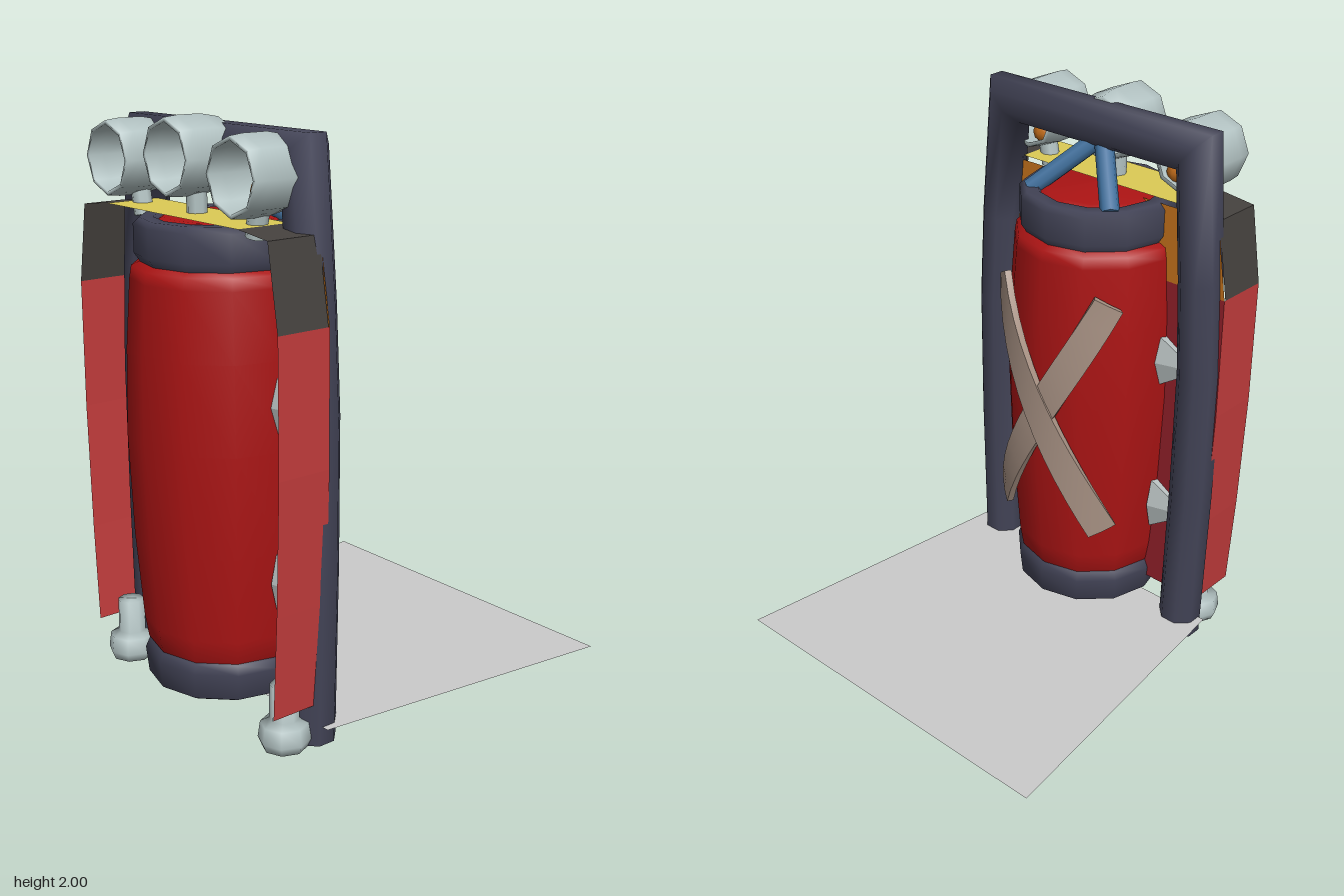
import * as THREE from 'three';

const V = (x, y, z) => new THREE.Vector3(x, y, z);
const P = (pts) => pts.map(([a, b]) => new THREE.Vector2(a, b));
const mat = (color, opts = {}) => {
  const m = new THREE.MeshStandardMaterial(opts);
  m.color.set(color);
  return m;
};
const TANK_Z = 0.405;

export function createModel() {
  const model = new THREE.Group();
  const red = mat(0xab1414), dark = mat(0x424356), metal = mat(0xb4c4c4);
  const blue = mat(0x3f6f9c), beige = mat(0xa89284), orange = mat(0xc8701c);
  const bolt = mat(0xb4bcbc, { flatShading: true });
  const sheet = (c) => mat(c, { side: THREE.DoubleSide, flatShading: true });
  const panelRed = sheet(0xc23c3c), wallRed = sheet(0x94202a), cowlDark = sheet(0x45413e);
  const cowlOrange = sheet(0xc8741c), cowlYellow = sheet(0xdccb55);

  const add = (name, geo, material, x = 0, y = 0, z = 0) => {
    const m = new THREE.Mesh(geo, material);
    m.name = name;
    m.position.set(x, y, z);
    model.add(m);
    return m;
  };
  const lathe = (pts, n) => new THREE.LatheGeometry(P(pts), n);

  // strip of quads between two rows of points
  const strip = (rowA, rowB) => {
    const pos = [], idx = [];
    rowA.forEach((p, i) => {
      pos.push(...p, ...rowB[i]);
      if (i) idx.push(2 * i - 2, 2 * i, 2 * i - 1, 2 * i, 2 * i + 1, 2 * i - 1);
    });
    const g = new THREE.BufferGeometry();
    g.setAttribute('position', new THREE.Float32BufferAttribute(pos, 3));
    g.setIndex(idx);
    g.computeVertexNormals();
    return g;
  };
  const rod = (name, a, b, r, material) => {
    const m = add(name, new THREE.CylinderGeometry(r, r, a.distanceTo(b), 8), material);
    m.position.copy(a).add(b).multiplyScalar(0.5);
    m.quaternion.setFromUnitVectors(V(0, 1, 0), b.clone().sub(a).normalize());
  };

  // tank with bulging body, two bands and a lid
  add('tankBody', lathe([[0.25, 0.19], [0.275, 0.22], [0.288, 0.3], [0.312, 0.6], [0.325, 0.95],
    [0.318, 1.25], [0.302, 1.48], [0.295, 1.52], [0.25, 1.54]], 12), red, 0, 0, TANK_Z);
  add('tankBottomBand', lathe([[0, 0.075], [0.25, 0.075], [0.278, 0.09], [0.288, 0.18], [0.275, 0.21],
    [0.255, 0.245], [0.2, 0.25]], 12), dark, 0, 0, TANK_Z);
  add('tankTopBand', lathe([[0.26, 1.5], [0.268, 1.535], [0.285, 1.56], [0.285, 1.655], [0.265, 1.675],
    [0.22, 1.675], [0.205, 1.65]], 12), dark, 0, 0, TANK_Z);
  add('tankLid', lathe([[0.22, 1.655], [0.19, 1.675], [0, 1.69]], 12), red, 0, 0, TANK_Z);

  // tubular frame: mitred octagonal sweep along a bent hoop
  const half = [[0.455, 0], [0.47, 0.6], [0.473, 1.1], [0.455, 1.45], [0.418, 1.9]];
  const path = P([...half, ...half.map(([x, y]) => [-x, y]).reverse()]);
  const N = 8, R = 0.079, pos = [], idx = [];
  path.forEach((p, i) => {
    const d1 = p.clone().sub(path[Math.max(i - 1, 0)]);
    const d2 = path[Math.min(i + 1, path.length - 1)].clone().sub(p);
    if (!i) d1.copy(d2);
    if (i === path.length - 1) d2.copy(d1);
    d1.normalize(); d2.normalize();
    const t = d1.clone().add(d2).normalize(), k = R / t.dot(d1);
    for (let j = 0; j < N; j++) {
      const a = (j + 0.5) / N * Math.PI * 2, c = Math.cos(a) * k;
      pos.push(p.x + t.y * c, p.y - t.x * c, 0.4 + Math.sin(a) * R);
      if (i) {
        const q = i * N + j, s = i * N + (j + 1) % N;
        idx.push(q - N, q, s - N, s - N, q, s);
      }
    }
  });
  const tube = new THREE.BufferGeometry();
  tube.setAttribute('position', new THREE.Float32BufferAttribute(pos, 3));
  tube.setIndex(idx);
  tube.computeVertexNormals();
  add('frameHoop', tube, dark);

  // outlines of the side panels and of the cowl above them
  const low = [[0.515, 0.145], [0.535, 0.5], [0.55, 0.95], [0.55, 1.4]];
  const up = [[0.55, 1.4], [0.505, 1.675], [0.36, 1.692]];

  for (const s of [1, -1]) {
    add('legEnd', new THREE.CircleGeometry(R, N).rotateZ(Math.PI / N).rotateX(Math.PI / 2),
      dark, s * 0.455, 0.002, 0.4);

    const at = (z) => ([x, y]) => [s * x, y, z];
    add('sidePanel', strip(low.map(at(0.41)), low.map(at(0.61))), panelRed);
    add('cowlSide', strip(up.map(at(0.415)), up.map(at(0.61))), cowlDark);

    // flat clasps between tank and frame
    for (const y of [0.5, 1.1]) {
      const c = add('clasp', new THREE.CylinderGeometry(0.05, 0.115, 0.09, 6).scale(1, 1, 0.4),
        bolt, s * 0.35, y, 0.405);
      c.rotation.z = -s * Math.PI / 2;
      c.rotation.order = 'ZYX';
    }

    // feet
    add('foot', lathe([[0, 0], [0.075, 0], [0.088, 0.03], [0.08, 0.085], [0.05, 0.1],
      [0.048, 0.22], [0, 0.22]], 8), metal, s * 0.45, 0, 0.515);

    add('orangeBulb', new THREE.SphereGeometry(0.045, 8, 6), orange, s * 0.3, 1.785, 0.46);

    // braces from the back of the lid up to the middle lamp
    rod('brace', V(s * 0.18, 1.66, 0.245), V(0, 1.85, 0.42), 0.034, blue);
  }

  // back wall and top of the cowl
  const left = ([x, y]) => [-x, y, 0.41], right = ([x, y]) => [x, y, 0.41];
  const wallTop = up.slice(0, 2);
  add('backPanel', strip(low.map(left), low.map(right)), wallRed);
  add('cowlBack', strip(wallTop.map(left), wallTop.map(right)), cowlOrange);
  add('cowlTop', strip([[-0.36, 1.692, 0.41], [-0.36, 1.692, 0.61]],
    [[0.36, 1.692, 0.41], [0.36, 1.692, 0.61]]), cowlYellow);

  // lamps: open barrels with a wall thickness, facing forward
  const barrel = lathe([[0.1, 0.41], [0.115, 0.41], [0.128, 0.48], [0.128, 0.57], [0.123, 0.618],
    [0.11, 0.618], [0.113, 0.56], [0.1, 0.41]], 8).rotateX(Math.PI / 2);
  for (const [x, y] of [[-0.34, 1.843], [0, 1.874], [0.34, 1.843]]) {
    add('lamp', barrel, metal, x, y, 0);
    rod('lampStem', V(x * 0.9, 1.65, 0.5), V(x * 0.95, y - 0.11, 0.5), 0.034, metal);
  }

  // crossed straps wrapped round the back of the tank
  for (const s of [1, -1]) {
    const g = new THREE.BoxGeometry(0.11, 1.04, 0.025, 2, 12, 1).rotateZ(s * 0.5);
    const a = g.attributes.position;
    for (let i = 0; i < a.count; i++) {
      const y = a.getY(i), th = a.getX(i) / 0.335 + 0.07;
      const r = 0.335 - 0.03 * y * y + a.getZ(i) + (s > 0 ? 0.005 : 0);
      a.setXYZ(i, -Math.sin(th) * r, y + 0.91, TANK_Z - Math.cos(th) * r);
    }
    g.computeVertexNormals();
    add('strap', g, beige);
  }

  // flat sheet spreading out behind, just above the leg ends
  add('groundSheet', strip([[-0.555, 0.065, 0.42], [-0.69, 0.065, -0.725]],
    [[0.555, 0.065, 0.42], [0.69, 0.065, -0.725]]), sheet(0xcccccc));

  return model;
}
